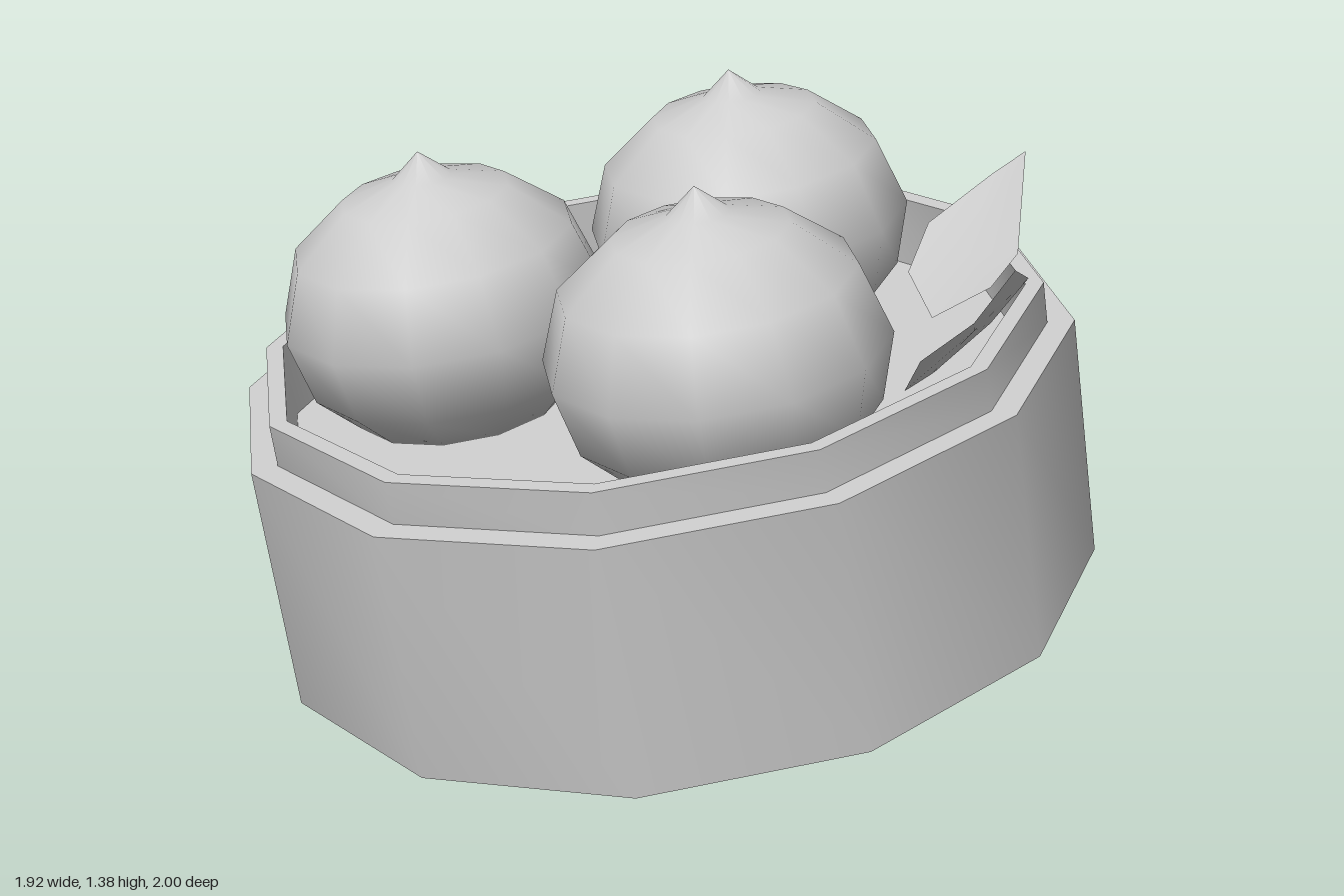
import * as THREE from 'three';
import { toCreasedNormals } from 'three/addons/utils/BufferGeometryUtils.js';

const SIDES = 12;

// Twelve-sided turned solid with flat sides facing the axes
function turned(profile, crease) {
  const points = profile.map(([r, y]) => new THREE.Vector2(r, y));
  const geometry = new THREE.LatheGeometry(points, SIDES, Math.PI / SIDES);
  return crease ? toCreasedNormals(geometry, crease) : geometry;
}

// Thin leaf: a fan from its middle to the outline
function leafGeometry(middle, outline) {
  const positions = [];
  outline.forEach((p, i) => {
    positions.push(...middle, ...p, ...outline[(i + 1) % outline.length]);
  });
  const geometry = new THREE.BufferGeometry();
  geometry.setAttribute('position', new THREE.Float32BufferAttribute(positions, 3));
  geometry.computeVertexNormals();
  return toCreasedNormals(geometry, 0.6);
}

export function createModel() {
  const model = new THREE.Group();
  model.name = 'bunSteamer';
  const grey = new THREE.MeshStandardMaterial({ color: 0xcccccc, side: THREE.DoubleSide });
  grey.name = 'lightGrey';

  const add = (parent, name, geometry) => {
    const mesh = new THREE.Mesh(geometry, grey);
    mesh.name = name;
    parent.add(mesh);
    return mesh;
  };

  // Everything in the basket leans forward
  const tilted = new THREE.Group();
  tilted.name = 'tiltedBasket';
  tilted.rotation.x = THREE.MathUtils.degToRad(10);
  tilted.position.set(0, 0.17, -0.05);
  model.add(tilted);

  // Basket with stepped rim and raised floor
  add(tilted, 'basket', turned([
    [0, 0], [0.995, 0], [0.995, 0.6], [0.932, 0.6],
    [0.932, 0.7], [0.89, 0.7], [0.89, 0.52], [0, 0.52],
  ], 0.8));

  // Three buns with pinched tips
  const bun = turned([
    [0, 0.515], [0.25, 0.515], [0.352, 0.62], [0.393, 0.78],
    [0.335, 0.945], [0.2, 1.055], [0.07, 1.095], [0, 1.157],
  ]);
  [[-0.34, 0.334], [0.44, 0.131], [-0.13, -0.437]].forEach(([x, z], i) => {
    add(tilted, `bun${i + 1}`, bun).position.set(x, 0, z);
  });

  // Two leaves leaning on the rim
  add(model, 'backLeaf', leafGeometry([0.41, 0.99, -0.58], [
    [0.365, 1.2, -0.8], [0.31, 1.14, -0.74], [0.245, 1.03, -0.6], [0.28, 0.93, -0.505],
    [0.43, 0.86, -0.445], [0.555, 0.95, -0.51], [0.56, 1.02, -0.59],
  ]));
  add(model, 'sideLeaf', leafGeometry([0.69, 0.91, -0.33], [
    [0.9, 1.11, -0.24], [0.73, 1.02, -0.455], [0.57, 0.87, -0.5], [0.49, 0.74, -0.38],
    [0.53, 0.74, -0.27], [0.67, 0.86, -0.185], [0.82, 0.98, -0.2],
  ]));

  return model;
}
